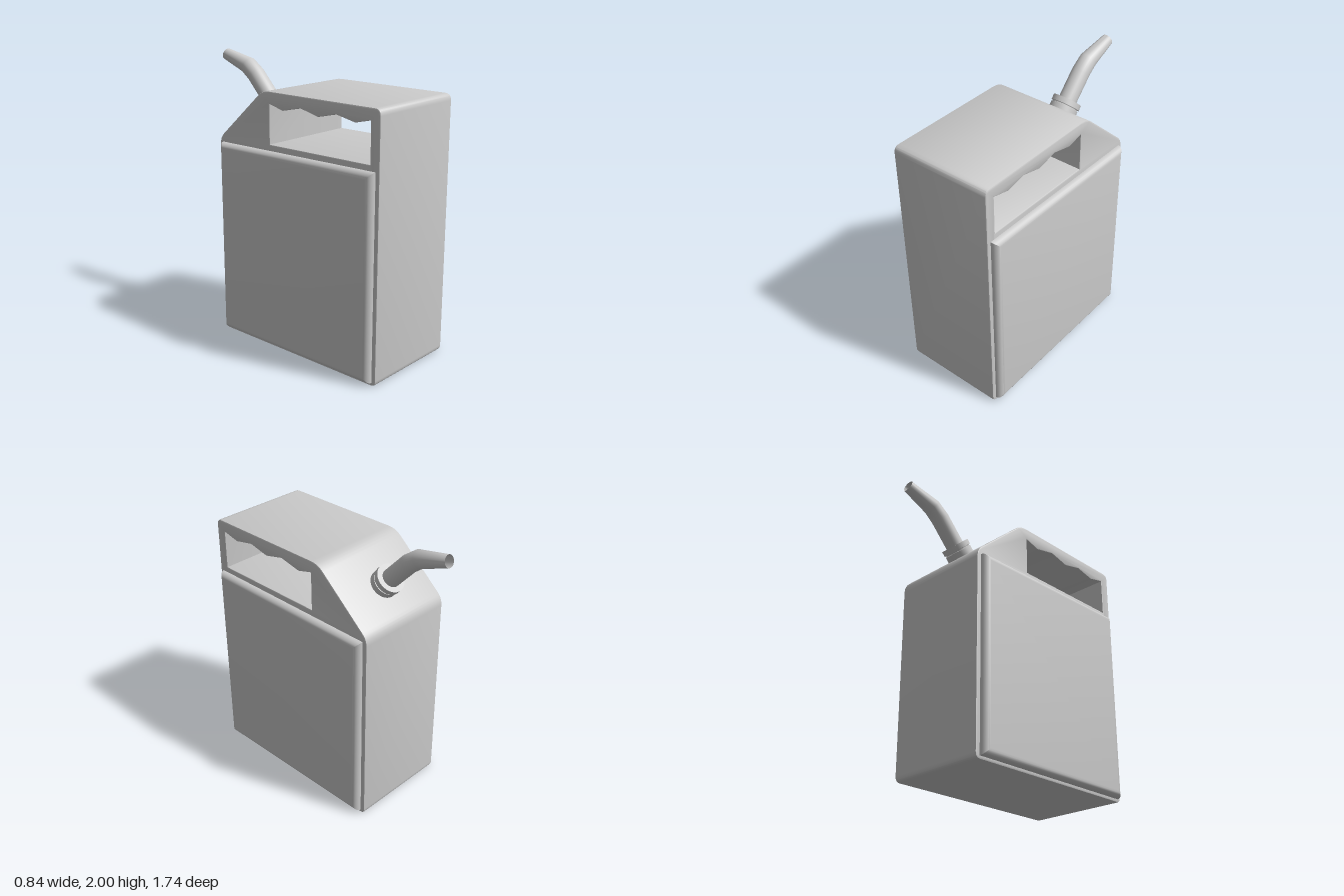
import * as THREE from 'three';
import { toCreasedNormals } from 'three/addons/utils/BufferGeometryUtils.js';

const material = new THREE.MeshStandardMaterial({ color: 0xcccccc });
const openMaterial = new THREE.MeshStandardMaterial({ color: 0xcccccc, side: THREE.DoubleSide });

function addMesh(parent, name, geometry, mat = material) {
  const mesh = new THREE.Mesh(geometry, mat);
  mesh.name = name;
  parent.add(mesh);
  return mesh;
}

// Closed outline in [z, y, cornerRadius] with softly rounded corners
function roundedOutline(corners) {
  const shape = new THREE.Shape();
  const pts = corners.map(([z, y]) => new THREE.Vector2(z, y));
  const n = pts.length;
  pts.forEach((p, i) => {
    const r = corners[i][2];
    const toward = (q) => q.clone().sub(p).setLength(r).add(p);
    const a = toward(pts[(i + n - 1) % n]);
    const b = toward(pts[(i + 1) % n]);
    if (i === 0) shape.moveTo(a.x, a.y);
    else shape.lineTo(a.x, a.y);
    shape.quadraticCurveTo(p.x, p.y, b.x, b.y);
  });
  shape.closePath();
  return shape;
}

// Extrude a side outline across the width, centred on x = 0
function extrudeAcross(shape, width, bevel, bevelSegments) {
  const geometry = new THREE.ExtrudeGeometry(shape, {
    depth: width - 2 * bevel, curveSegments: 5,
    bevelThickness: bevel, bevelSize: bevel, bevelOffset: -bevel, bevelSegments,
  });
  geometry.translate(0, 0, bevel - width / 2);
  geometry.rotateY(-Math.PI / 2);
  return geometry;
}

function buildBody() {
  const outline = roundedOutline([
    [0.87, 0, 0.04], [0.87, 1.815, 0.045], [-0.12, 1.815, 0.06],
    [-0.545, 1.44, 0.05], [-0.545, 0, 0.04],
  ]);
  // Handle opening with finger grips along its upper edge
  const opening = [
    [0.795, 1.465], [0.795, 1.735], [0.67, 1.705], [0.52, 1.735], [0.37, 1.7],
    [0.22, 1.735], [0.06, 1.7], [-0.055, 1.73], [-0.055, 1.46],
  ];
  outline.holes.push(new THREE.Path(opening.map(([z, y]) => new THREE.Vector2(z, y))));
  return toCreasedNormals(extrudeAcross(outline, 0.74, 0.008, 2), 0.5);
}

// Raised panel: pillow edge outside, flat back just inside the body wall
function buildPanel() {
  const outline = new THREE.Shape([
    [0.84, 0.022], [0.84, 1.425], [-0.512, 1.412], [-0.512, 0.022],
  ].map(([z, y]) => new THREE.Vector2(z, y)));
  const geometry = extrudeAcross(outline, 0.12, 0.045, 5);
  geometry.translate(0.358, 0, 0);
  const pos = geometry.attributes.position;
  for (let i = 0; i < pos.count; i++) pos.setX(i, Math.max(pos.getX(i), 0.362));
  return toCreasedNormals(geometry, 0.6);
}

// Bent, tapering tube: each row of a cylinder is moved to a station on the path
function buildSpout() {
  const stations = [
    { z: -0.36, y: 1.63, tilt: 0.74, r: 0.064 },
    { z: -0.555, y: 1.838, tilt: 0.76, r: 0.064 },
    { z: -0.635, y: 1.897, tilt: 1.03, r: 0.062 },
    { z: -0.858, y: 1.96, tilt: 1.27, r: 0.042 },
  ];
  const rows = stations.length - 1;
  const geometry = new THREE.CylinderGeometry(1, 1, rows, 28, rows, true);
  const pos = geometry.attributes.position;
  for (let i = 0; i < pos.count; i++) {
    const s = stations[Math.round(pos.getY(i) + rows / 2)];
    const side = pos.getZ(i) * s.r;
    pos.setXYZ(i, pos.getX(i) * s.r, s.y + side * Math.sin(s.tilt), s.z + side * Math.cos(s.tilt));
  }
  return toCreasedNormals(geometry, 0.8);
}

// Stepped collar that holds the spout
function buildCollar() {
  const profile = [
    [0.098, -0.01], [0.098, 0.038], [0.09, 0.04], [0.09, 0.046],
    [0.102, 0.048], [0.102, 0.086], [0.06, 0.086],
  ].map(([r, y]) => new THREE.Vector2(r, y));
  return toCreasedNormals(new THREE.LatheGeometry(profile, 32), 0.6);
}

export function createModel() {
  const can = new THREE.Group();
  can.name = 'jerryCan';

  addMesh(can, 'body', buildBody());

  // Side panels, one turned inside out by mirroring
  for (const side of [1, -1]) {
    const panel = addMesh(can, side > 0 ? 'leftPanel' : 'rightPanel', buildPanel());
    panel.scale.x = side;
  }

  const collar = addMesh(can, 'spoutCollar', buildCollar(), openMaterial);
  collar.position.set(0, 1.62, -0.35);
  collar.rotation.x = -0.74;

  addMesh(can, 'spout', buildSpout(), openMaterial);
  return can;
}
